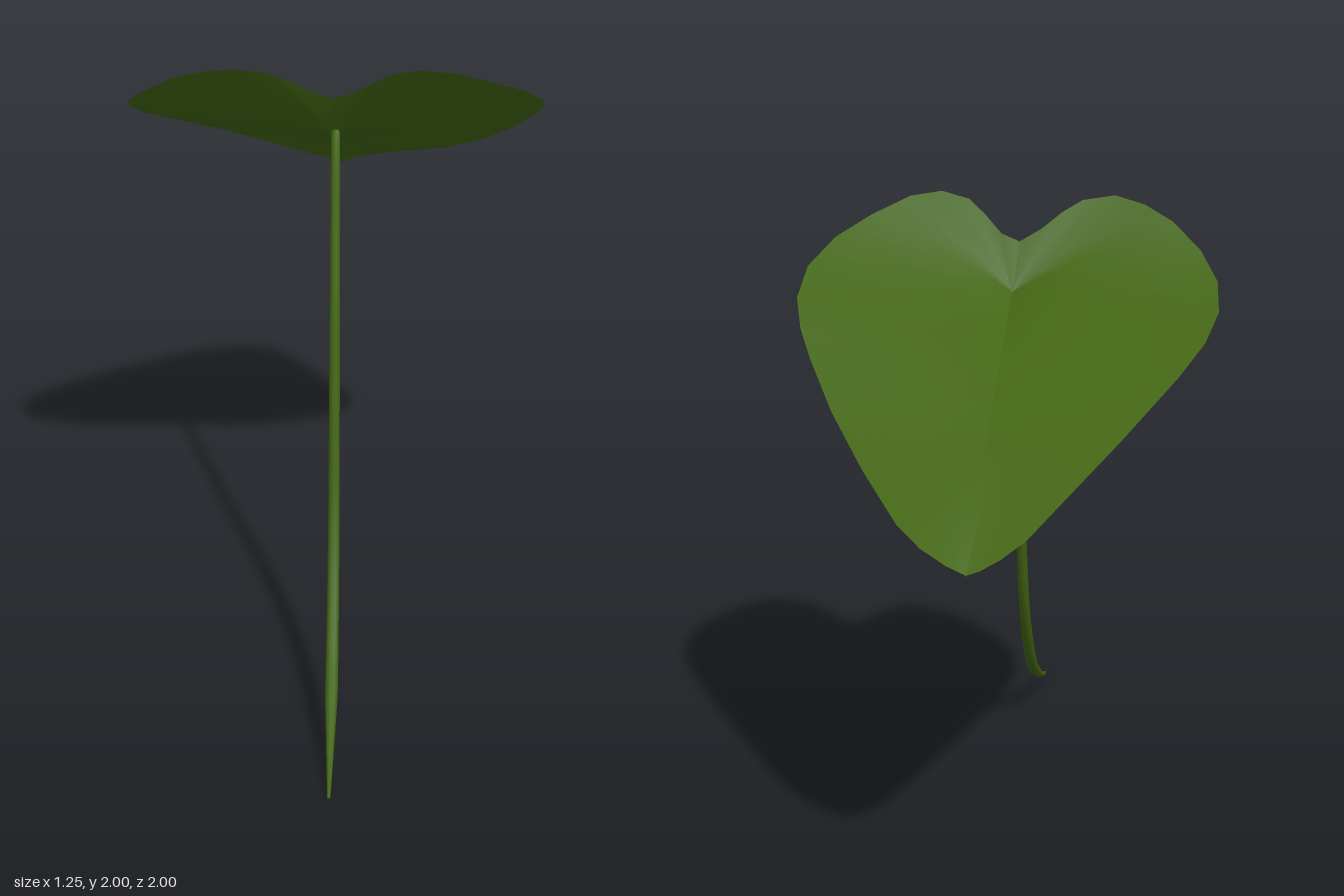
import * as THREE from 'three';

// Leaf rim as [x, y, z], each half running from the notch to the tip
const leftRim = [
  [-0.09, 1.87, 0.115], [-0.16, 1.905, 0.12], [-0.23, 1.95, 0.14], [-0.3, 1.985, 0.15],
  [-0.4, 2.0, 0.13], [-0.48, 1.98, 0.07], [-0.55, 1.94, -0.01], [-0.61, 1.87, -0.12],
  [-0.63, 1.8, -0.24], [-0.6, 1.735, -0.36], [-0.53, 1.67, -0.46], [-0.42, 1.6, -0.565],
  [-0.2, 1.47, -0.74], [0, 1.35, -0.88], [0.12, 1.275, -0.96], [0.2, 1.235, -0.99],
  [0.26, 1.21, -1], [0.3, 1.2, -1],
];
const rightRim = [
  [-0.09, 1.87, 0.115], [-0.04, 1.89, 0.15], [0, 1.94, 0.22], [0.04, 1.98, 0.265],
  [0.12, 2.0, 0.31], [0.22, 1.985, 0.325], [0.35, 1.935, 0.3], [0.47, 1.88, 0.255],
  [0.57, 1.81, 0.175], [0.62, 1.74, 0.06], [0.625, 1.67, -0.05], [0.61, 1.6, -0.15],
  [0.575, 1.49, -0.34], [0.52, 1.38, -0.57], [0.46, 1.29, -0.8], [0.41, 1.25, -0.9],
  [0.35, 1.22, -0.97], [0.3, 1.2, -1],
];
const heart = new THREE.Vector3(-0.045, 1.735, 0.01);
const tip = new THREE.Vector3(0.3, 1.2, -1);

// One face of one half of the blade: strips running from the midrib out to the rim.
// Both halves share the same rib points; depth drops the underside below the top.
function halfLeaf(rim, depth, flip) {
  const across = 10;
  const pos = [], index = [];
  rim.forEach((p, i) => {
    const edge = new THREE.Vector3(...p);
    const along = Math.max(0, (i - 6) / (rim.length - 7));
    const foot = heart.clone().lerp(tip, along);
    foot.y += 0.03 * Math.sin(Math.PI * along);
    for (let j = 0; j <= across; j++) {
      const s = j / across;
      const v = foot.clone().lerp(edge, s);
      v.y = THREE.MathUtils.lerp(foot.y, edge.y, Math.pow(s, 0.92)); // dished towards the rib
      v.y -= depth * (1 - s * s) * (1 - 0.6 * along);
      pos.push(v.x, v.y, v.z);
      if (i > 0 && j > 0) {
        const d = i * (across + 1) + j, c = d - 1, b = d - across - 1, a = b - 1;
        if (flip) index.push(a, c, b, b, c, d);
        else index.push(a, b, c, b, d, c);
      }
    }
  });
  const geo = new THREE.BufferGeometry();
  geo.setAttribute('position', new THREE.Float32BufferAttribute(pos, 3));
  geo.setIndex(index);
  geo.computeVertexNormals();
  return geo;
}

// Curved stalk, thin at the foot and ending inside the blade
function stalk() {
  const zy = [[0.995, 0.004], [0.9, 0.04], [0.76, 0.11], [0.6, 0.215], [0.49, 0.33],
    [0.4, 0.46], [0.33, 0.61], [0.245, 0.92], [0.18, 1.2], [0.1, 1.46], [0.035, 1.68],
    [0.015, 1.728]];
  const curve = new THREE.CatmullRomCurve3(
    zy.map(([z, y]) => new THREE.Vector3(-0.04 - 0.345 * z, y, z)));
  const rings = 64, sides = 10;
  const geo = new THREE.TubeGeometry(curve, rings, 1, sides);
  const pos = geo.attributes.position;
  const v = new THREE.Vector3();
  for (let i = 0; i <= rings; i++) {
    const t = i / rings;
    const centre = curve.getPointAt(t);
    const radius = 0.005 + 0.016 * Math.min(1, t * 6) - 0.007 * t;
    for (let j = 0; j <= sides; j++) {
      const k = i * (sides + 1) + j;
      v.fromBufferAttribute(pos, k).sub(centre).multiplyScalar(radius).add(centre);
      pos.setXYZ(k, v.x, v.y, v.z);
    }
  }
  geo.computeVertexNormals();
  return geo;
}

export function createModel() {
  const group = new THREE.Group();
  group.name = 'leafOnStalk';
  const green = new THREE.MeshStandardMaterial({ color: 0x426512, side: THREE.DoubleSide });
  green.name = 'leafGreen';
  const add = (name, geo) => {
    const mesh = new THREE.Mesh(geo, green);
    mesh.name = name;
    group.add(mesh);
  };
  add('leftBladeTop', halfLeaf(leftRim, 0, true));
  add('rightBladeTop', halfLeaf(rightRim, 0, false));
  add('leftBladeUnderside', halfLeaf(leftRim, 0.025, false));
  add('rightBladeUnderside', halfLeaf(rightRim, 0.025, true));
  add('stalk', stalk());
  return group;
}
